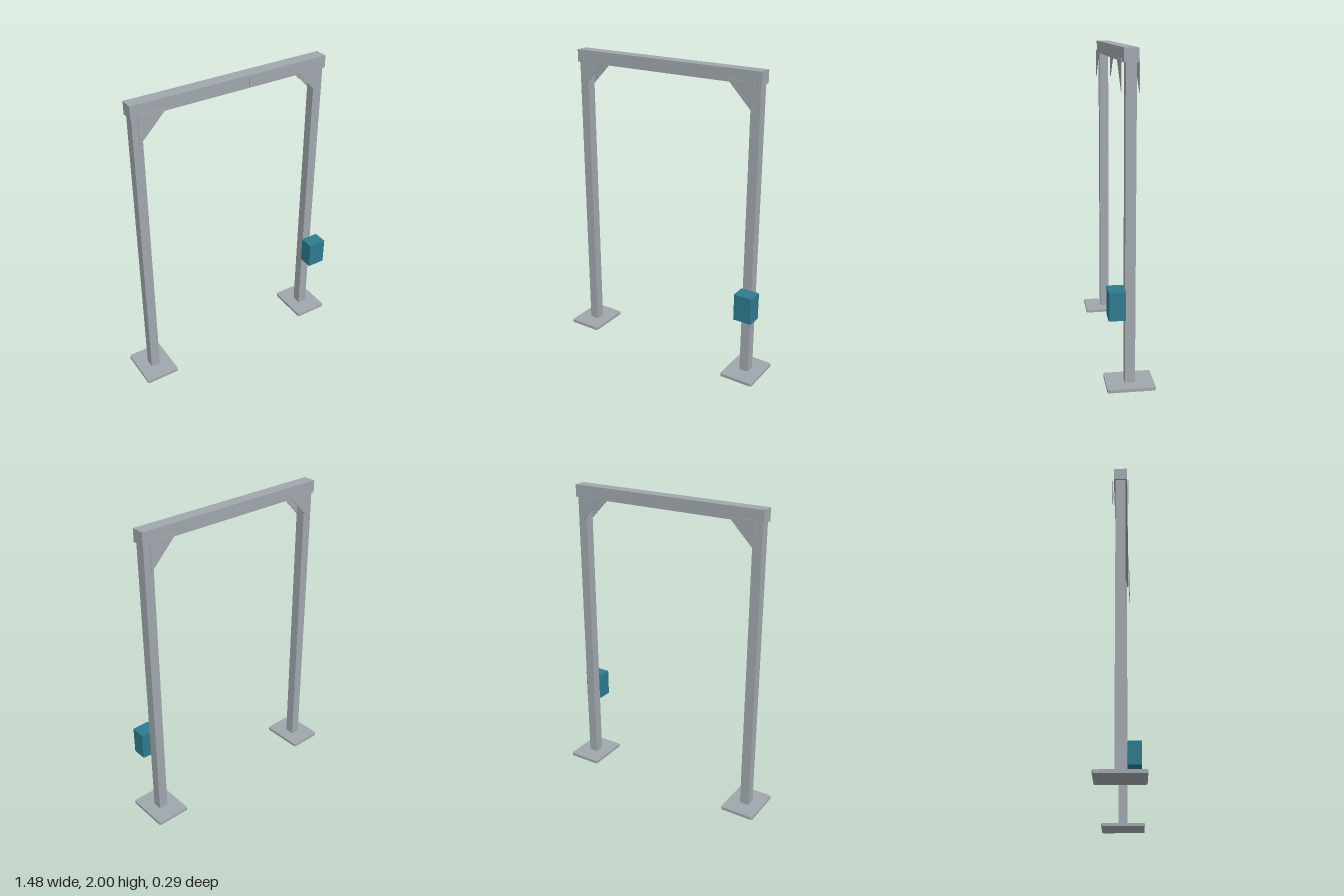
import * as THREE from 'three';

const steel = new THREE.MeshStandardMaterial({ color: 0xa0a7ad, name: 'steelGrey' });
const teal = new THREE.MeshStandardMaterial({ color: 0x2e7a8e, name: 'boxTeal' });

// Rounded-rectangle slab in the XZ plane, rising from y = 0
function roundedSlab(w, d, h, r) {
  const x = w / 2, z = d / 2;
  const s = new THREE.Shape();
  s.moveTo(-x + r, -z);
  s.lineTo(x - r, -z);
  s.absarc(x - r, -z + r, r, -Math.PI / 2, 0);
  s.absarc(x - r, z - r, r, 0, Math.PI / 2);
  s.absarc(-x + r, z - r, r, Math.PI / 2, Math.PI);
  s.absarc(-x + r, -z + r, r, Math.PI, Math.PI * 1.5);
  const g = new THREE.ExtrudeGeometry(s, { depth: h, bevelEnabled: false, curveSegments: 4 });
  return g.rotateX(-Math.PI / 2);
}

export function createModel() {
  const group = new THREE.Group();
  const add = (name, geometry, material, x, y, z) => {
    const mesh = new THREE.Mesh(geometry, material);
    mesh.name = name;
    mesh.position.set(x, y, z);
    group.add(mesh);
    return mesh;
  };

  // Top beam with a flush cover plate on its front
  add('topBeam', new THREE.BoxGeometry(1.336, 0.08, 0.084), steel, 0, 1.96, 0);
  add('beamCoverPlate', new THREE.BoxGeometry(0.366, 0.065, 0.004), steel, 0.288, 1.961, 0.0415);

  for (const side of [-1, 1]) {
    const label = side > 0 ? 'left' : 'right';

    // Foot plate and post
    add(label + 'FootPlate', roundedSlab(0.228, 0.29, 0.02, 0.012), steel, side * 0.628, 0, 0);
    add(label + 'Post', new THREE.BoxGeometry(0.062, 1.9, 0.062), steel, side * 0.628, 0.97, 0);

    // Triangular corner gussets, front and back
    const tri = new THREE.Shape([
      new THREE.Vector2(side * 0.628, 1.938),
      new THREE.Vector2(side * 0.45, 1.938),
      new THREE.Vector2(side * 0.628, 1.755),
    ]);
    const gusset = new THREE.ExtrudeGeometry(tri, { depth: 0.004, bevelEnabled: false });
    add(label + 'FrontGusset', gusset, steel, 0, 0, 0.049);
    add(label + 'BackGusset', gusset, steel, 0, 0, -0.053);
  }

  // Control box on the front of the left post
  add('controlBox', roundedSlab(0.126, 0.102, 0.176, 0.007), teal, 0.652, 0.443, 0.083);

  return group;
}
